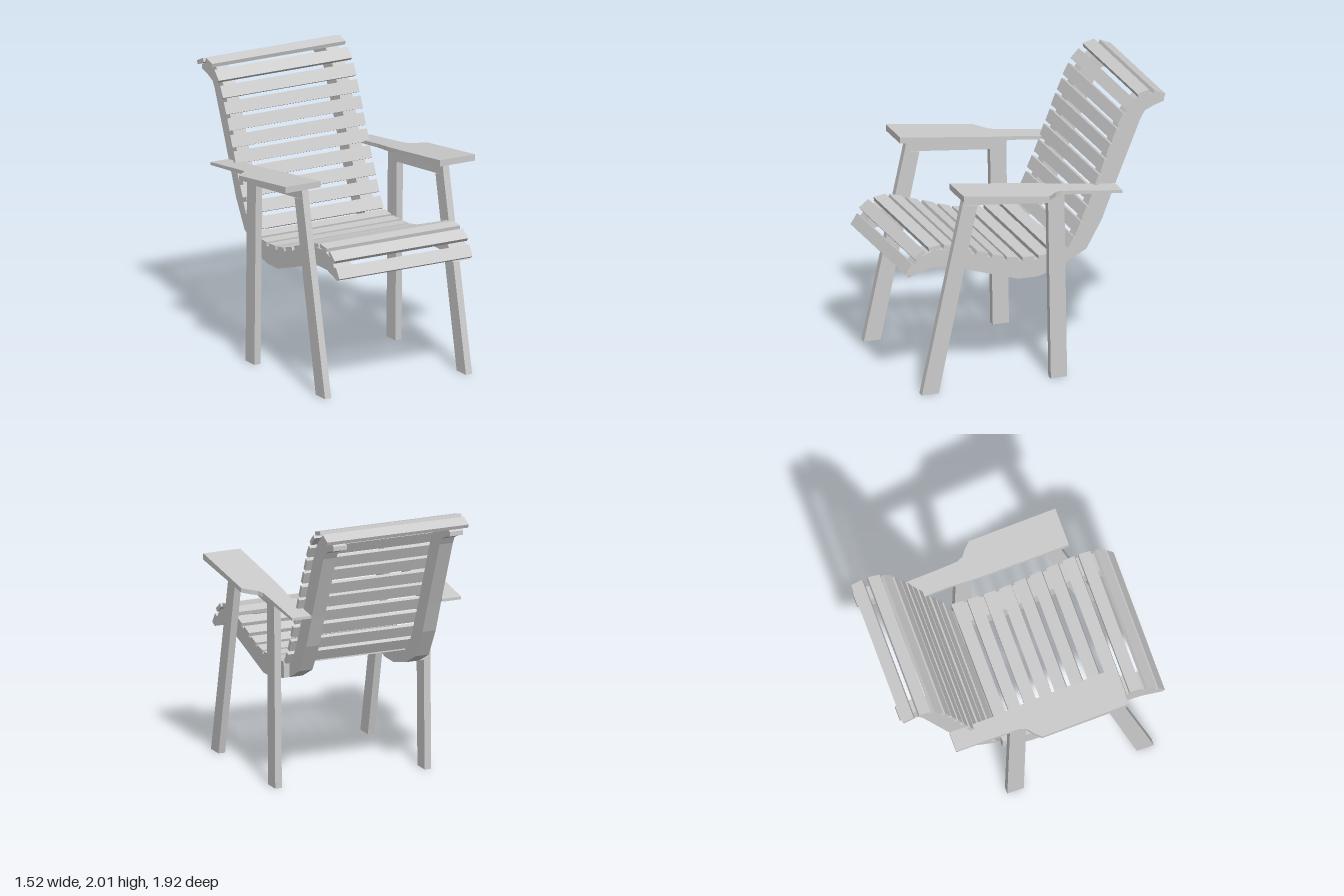
import * as THREE from 'three';

const material = new THREE.MeshStandardMaterial({ color: 0xcccccc, flatShading: true });

// Board cut from a side profile of [z, y] points, spanning x0..x1
function sideBoard(name, profile, x0, x1) {
  const shape = new THREE.Shape(profile.map(([z, y]) => new THREE.Vector2(z, y)));
  const geo = new THREE.ExtrudeGeometry(shape, { depth: x1 - x0, bevelEnabled: false });
  geo.rotateY(-Math.PI / 2).translate(x1, 0, 0);
  const mesh = new THREE.Mesh(geo, material);
  mesh.name = name;
  return mesh;
}

// Flat armrest plank: plan outline of [x, z], sloping down and thinning to the rear
function armrest(name, side) {
  const plan = [
    [0.48, 0.62], [0.76, 0.62], [0.76, -0.01], [0.71, -0.06], [0.67, -0.09], [0.65, -0.135],
    [0.645, -0.25], [0.64, -0.595], [0.495, -0.595], [0.5, -0.25], [0.49, -0.12], [0.485, 0],
  ];
  const shape = new THREE.Shape(plan.map(([x, z]) => new THREE.Vector2(x * side, -z)));
  const geo = new THREE.ExtrudeGeometry(shape, { depth: 1, bevelEnabled: false });
  geo.rotateX(-Math.PI / 2);
  const p = geo.attributes.position;
  for (let i = 0; i < p.count; i++) {
    const t = (p.getZ(i) + 0.595) / 1.215;
    const bottom = 1.315 + 0.13 * t;
    const top = 1.335 + 0.155 * t;
    p.setY(i, p.getY(i) > 0.5 ? top : bottom);
  }
  geo.computeVertexNormals();
  const mesh = new THREE.Mesh(geo, material);
  mesh.name = name;
  return mesh;
}

// Row of slats at [z, y] centres; first and last points only set the end angles
function slats(name, path) {
  const group = new THREE.Group();
  group.name = name;
  const geo = new THREE.BoxGeometry(1.07, 0.028, 0.088);
  for (let i = 1; i < path.length - 1; i++) {
    const [za, ya] = path[i - 1];
    const [zb, yb] = path[i + 1];
    const slat = new THREE.Mesh(geo, material);
    slat.name = 'slat';
    slat.position.set(0, path[i][1], path[i][0]);
    slat.rotation.x = Math.atan2(yb - ya, za - zb);
    group.add(slat);
  }
  return group;
}

export function createModel() {
  const chair = new THREE.Group();
  chair.name = 'slattedArmchair';

  // Slats of the seat and the backrest
  chair.add(slats('seatSlats', [
    [0.975, 0.83], [0.93, 0.91], [0.86, 1.01], [0.75, 1.05], [0.64, 1.04], [0.52, 1.0], [0.4, 0.962],
    [0.285, 0.922], [0.175, 0.893], [0.06, 0.882], [-0.06, 0.882], [-0.175, 0.892], [-0.29, 0.91],
  ]));
  chair.add(slats('backSlats', [
    [-0.205, 0.85], [-0.265, 0.95], [-0.32, 1.055], [-0.365, 1.165], [-0.415, 1.275], [-0.455, 1.385],
    [-0.5, 1.49], [-0.54, 1.6], [-0.585, 1.705], [-0.63, 1.81], [-0.695, 1.91], [-0.79, 1.983],
    [-0.905, 1.965], [-1.0, 1.89],
  ]));

  const seatRail = [
    [0.94, 0.855], [0.79, 0.903], [0.67, 0.903], [0.52, 0.862], [0.13, 0.74], [-0.01, 0.74], [-0.22, 0.793],
    [-0.22, 0.91], [-0.17, 0.877], [-0.06, 0.867], [0.06, 0.867], [0.17, 0.878], [0.28, 0.907],
    [0.4, 0.947], [0.515, 0.985], [0.64, 1.025], [0.75, 1.035], [0.85, 0.997], [0.915, 0.905],
  ];
  const backRail = [
    [-0.2, 0.79], [-0.22, 0.793], [-0.385, 0.88], [-0.5, 1.085], [-0.59, 1.315], [-0.785, 1.79], [-0.815, 1.84],
    [-0.885, 1.872], [-0.955, 1.893], [-0.955, 1.925], [-0.9, 1.95], [-0.79, 1.968], [-0.705, 1.9],
    [-0.643, 1.804], [-0.598, 1.7], [-0.513, 1.485], [-0.428, 1.27], [-0.333, 1.05], [-0.277, 0.943], [-0.2, 0.87],
  ];
  const frontLeg = [[0.865, 0], [0.74, 0], [0.455, 1.345], [0.565, 1.36]];
  const rearLeg = [[-0.085, 0], [-0.205, 0], [-0.185, 1.28], [-0.065, 1.293]];
  const armSupport = [[0.565, 1.36], [-0.185, 1.28], [-0.185, 1.36], [0.55, 1.438]];

  // Frame parts, one set per side
  for (const [label, side] of [['left', 1], ['right', -1]]) {
    const add = (name, profile, inner, outer) => chair.add(
      sideBoard(label + name, profile, Math.min(inner * side, outer * side), Math.max(inner * side, outer * side)));
    add('SeatRail', seatRail, 0.39, 0.53);
    add('BackRail', backRail, 0.39, 0.49);
    add('FrontLeg', frontLeg, 0.54, 0.59);
    add('RearLeg', rearLeg, 0.54, 0.59);
    add('ArmSupport', armSupport, 0.54, 0.59);
    chair.add(armrest(label + 'Armrest', side));
  }
  return chair;
}
